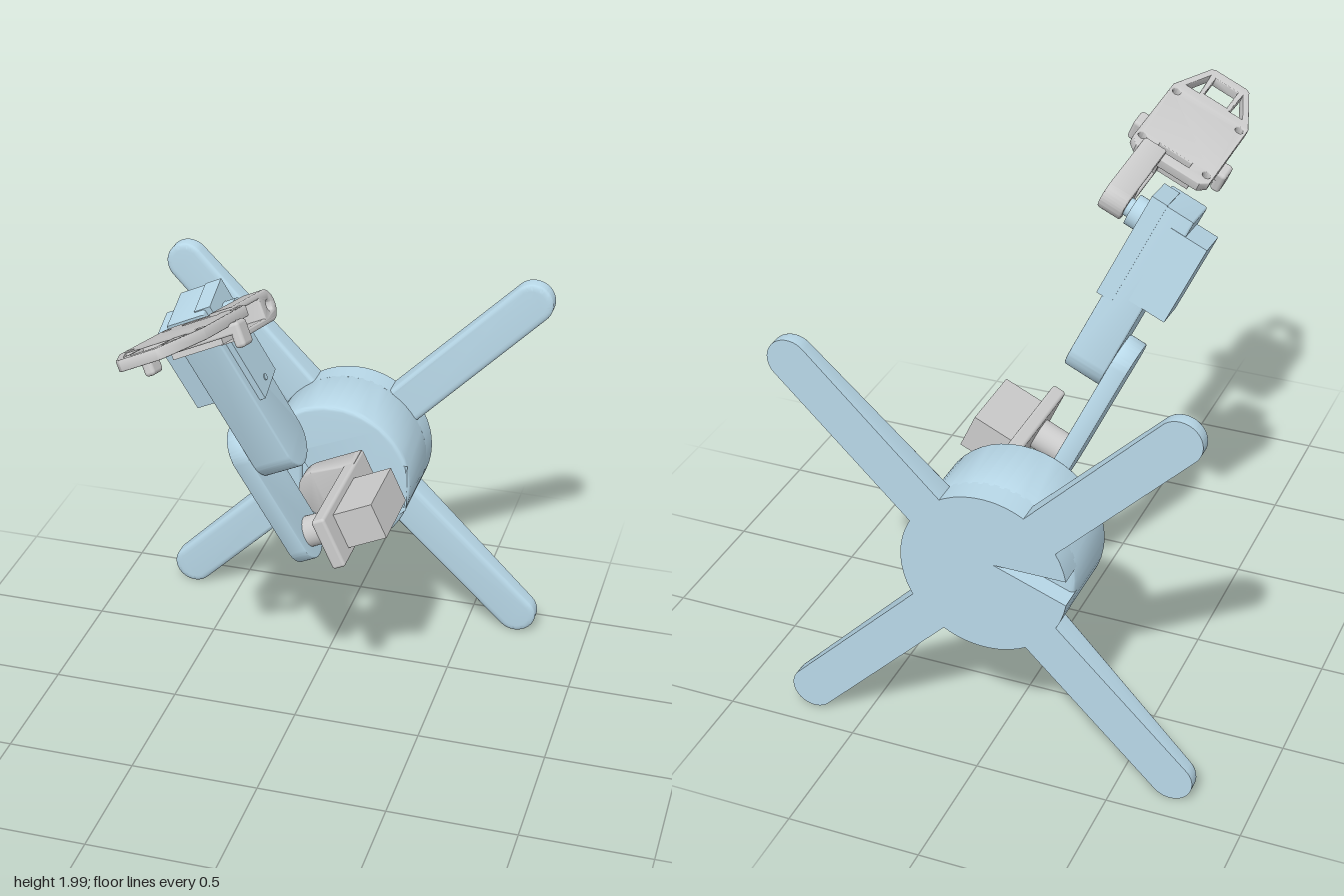
import * as THREE from 'three';
import { toCreasedNormals } from 'three/addons/utils/BufferGeometryUtils.js';
import { RoundedBoxGeometry } from 'three/addons/geometries/RoundedBoxGeometry.js';

const blue = new THREE.MeshStandardMaterial({ color: 0xb8d8e8 });
const grey = new THREE.MeshStandardMaterial({ color: 0xcccccc });

function add(parent, name, geometry, material) {
  const mesh = new THREE.Mesh(geometry, material);
  mesh.name = name;
  parent.add(mesh);
  return mesh;
}

function group(parent, name, position, rx = 0, rz = 0) {
  const g = new THREE.Group();
  g.name = name;
  g.position.set(...position);
  g.rotation.set(rx, 0, rz);
  parent.add(g);
  return g;
}

// Box given by its limits on each axis; r rounds the edges
function box(x0, x1, y0, y1, z0, z1, r = 0) {
  const s = [x1 - x0, y1 - y0, z1 - z0];
  const g = r ? new RoundedBoxGeometry(...s, 3, r) : new THREE.BoxGeometry(...s);
  return g.translate((x0 + x1) / 2, (y0 + y1) / 2, (z0 + z1) / 2);
}

// Cylinder along x
function axle(x0, x1, r, y, z) {
  return new THREE.CylinderGeometry(r, r, x1 - x0, 32).rotateZ(Math.PI / 2).translate((x0 + x1) / 2, y, z);
}

function extrude(shape, depth, bevel = 0) {
  return new THREE.ExtrudeGeometry(shape, {
    depth: depth - 2 * bevel, curveSegments: 24, bevelEnabled: bevel > 0,
    bevelThickness: bevel, bevelSize: bevel, bevelOffset: -bevel, bevelSegments: 4,
  }).translate(0, 0, bevel);
}

// Profile drawn in (z, y), spanning x0..x1
function sideExtrude(shape, x0, x1, bevel = 0) {
  return toCreasedNormals(extrude(shape, x1 - x0, bevel).rotateY(-Math.PI / 2).translate(x1, 0, 0), 0.6);
}

// Strip from a to b with round ends (either can be square)
function strip(a, b, r, roundA = true, roundB = true) {
  const s = new THREE.Shape();
  s.moveTo(a, -r);
  s.lineTo(b, -r);
  if (roundB) s.absarc(b, 0, r, -Math.PI / 2, Math.PI / 2);
  else s.lineTo(b, r);
  s.lineTo(a, r);
  if (roundA) s.absarc(a, 0, r, Math.PI / 2, 1.5 * Math.PI);
  else s.lineTo(a, -r);
  return s;
}

function polygon(points, Type = THREE.Shape) {
  return new Type(points.map((p) => new THREE.Vector2(...p)));
}
const rect = (x0, x1, y0, y1) => polygon([[x0, y0], [x1, y0], [x1, y1], [x0, y1]], THREE.Path);

// Apply a rule to every vertex
function reshape(g, rule) {
  const p = g.attributes.position;
  const v = new THREE.Vector3();
  for (let i = 0; i < p.count; i++) {
    rule(v.fromBufferAttribute(p, i));
    p.setXYZ(i, v.x, v.y, v.z);
  }
  return toCreasedNormals(g, 0.6);
}

function buildBase(model) {
  const base = group(model, 'base', [0, 0.79, 0]);

  // Drum with a servo pocket in its front
  const drum = new THREE.Shape().absarc(0, 0, 0.315, 0, Math.PI * 2);
  drum.holes.push(rect(-0.13, 0.285, -0.08, 0.08));
  add(base, 'drum', toCreasedNormals(extrude(drum, 0.3, 0.018).translate(0, 0, -0.83), 0.6), blue);

  // Back disc with a cable slot open to one side
  const a = Math.asin(0.05 / 0.315);
  const back = new THREE.Shape();
  back.moveTo(-0.04, -0.05);
  back.absarc(0, 0, 0.315, -Math.PI + a, Math.PI - a);
  back.lineTo(-0.04, 0.05);
  add(base, 'backDisc', toCreasedNormals(extrude(back, 0.1).translate(0, 0, -0.905), 0.6), blue);

  add(base, 'baseServo', box(-0.13, 0.22, -0.08, 0.08, -0.82, -0.545), blue);
  const turn = (r, z0, z1) => new THREE.CylinderGeometry(r, r, z1 - z0, 32).rotateX(Math.PI / 2).translate(0, 0, (z0 + z1) / 2);
  add(base, 'servoCollar', turn(0.06, -0.55, -0.515), blue);
  add(base, 'servoShaft', turn(0.02, -0.53, -0.46), blue);

  // Four legs, flat at the back and thinner towards the tip
  for (let i = 0; i < 4; i++) {
    const leg = reshape(extrude(strip(0.25, 0.997, 0.082, false), 0.15, 0.025), (v) => {
      v.z = Math.max(0, v.z - 0.03) / 0.12 * (0.108 - 0.05 * (v.x - 0.25) / 0.83);
    });
    leg.translate(0, 0, -0.905).rotateZ(Math.PI / 4 + i * Math.PI / 2);
    add(base, 'leg', leg, blue);
  }
}

function buildShoulder(shoulder) {
  // Foot plate thickening towards the side plate
  const foot = reshape(extrude(strip(0, 0.195, 0.105, true, false), 0.07, 0.008), (v) => {
    if (v.z > 0.035) v.z += 0.2 * (v.x + 0.105);
  });
  add(shoulder, 'bracketFoot', foot.translate(0, 0, -0.478), grey);
  add(shoulder, 'bracketSide', box(0.145, 0.2, -0.105, 0.105, -0.478, 0.095, 0.012), grey);
  add(shoulder, 'shoulderServo', box(0.19, 0.36, -0.073, 0.073, -0.29, 0.005), grey);
  add(shoulder, 'shoulderAxle', axle(0.03, 0.15, 0.06, 0, -0.075), grey);
}

function buildArm(arm) {
  // Upper arm: thin link with round ends
  const link = sideExtrude(strip(0, 0.43, 0.105), -0.03, 0.04, 0.006);
  add(arm, 'upperArm', link.rotateX(-Math.PI / 2), blue);

  // Forearm: thicker, round at the elbow, square at the wrist
  const fore = new THREE.Shape();
  fore.moveTo(0.105, 1.08);
  fore.lineTo(-0.105, 1.08);
  fore.lineTo(-0.105, 0.42);
  fore.absarc(0, 0.42, 0.105, Math.PI, 2 * Math.PI);
  add(arm, 'forearm', sideExtrude(fore, 0.04, 0.192, 0.008), blue);

  // Wrist servo reaching out on both sides of the forearm
  add(arm, 'wristServo', box(-0.05, 0.1, 0.7, 1.02, -0.108, 0.065), blue);
  add(arm, 'wristServoCover', box(0.15, 0.215, 0.66, 1.084, -0.108, 0.07), blue);
  add(arm, 'coverScrew', axle(0.21, 0.219, 0.012, 0.7, -0.01), blue);
  add(arm, 'wristAxle', axle(0.2, 0.26, 0.06, 0.97, -0.02), blue);
  add(arm, 'wristPin', axle(0.25, 0.3, 0.035, 0.97, -0.02), blue);
}

function buildHand(hand) {
  // Wrist link with a window and a pivot hole
  const link = strip(0, 0.29, 0.058, true, false);
  link.holes.push(rect(0.07, 0.25, -0.035, 0.035));
  link.holes.push(new THREE.Path().absarc(0, 0, 0.02, 0, Math.PI * 2));
  add(hand, 'wristLink', sideExtrude(link, 0.28, 0.375, 0.008), grey);

  // Tool plate with a tapered open frame at the tip
  const plate = polygon([[-0.135, 0.24], [0.135, 0.24], [0.165, 0.27], [0.165, 0.63],
    [0.085, 0.81], [0.07, 0.82], [-0.07, 0.82], [-0.085, 0.81], [-0.165, 0.63], [-0.165, 0.27]]);
  plate.holes.push(rect(-0.07, 0.07, 0.285, 0.31), rect(-0.05, 0.05, 0.67, 0.775));
  for (const s of [-1, 1]) {
    plate.holes.push(polygon([[s * 0.066, 0.66], [s * 0.122, 0.66], [s * 0.072, 0.775]], THREE.Path));
    for (const z of [0.3, 0.6]) {
      plate.holes.push(new THREE.Path().absarc(s * 0.138, z, 0.016, 0, Math.PI * 2));
    }
  }
  const plateGeo = extrude(plate, 0.04, 0.004).rotateX(Math.PI / 2).translate(0.25, 0.05, 0);
  add(hand, 'toolPlate', toCreasedNormals(plateGeo, 0.6), grey);

  // Strap under the plate, hooked down at both ends
  add(hand, 'strap', box(0.07, 0.43, -0.02, 0.015, 0.37, 0.45, 0.008), grey);
  for (const s of [-1, 1]) {
    const x = 0.25 + s * 0.18;
    add(hand, 'strapHook', box(x - 0.02, x + 0.02, -0.07, 0.02, 0.37, 0.45, 0.014), grey);
  }
  add(hand, 'clampBlock', box(0.15, 0.35, -0.045, 0.02, 0.28, 0.4), grey);
}

export function createModel() {
  const model = new THREE.Group();
  model.name = 'robotArm';
  buildBase(model);

  // The shoulder turns about z; arm and hand swing about its x
  const shoulder = group(model, 'shoulder', [0, 0.79, 0], 0, THREE.MathUtils.degToRad(25));
  buildShoulder(shoulder);
  buildArm(group(shoulder, 'arm', [0, 0, -0.075], THREE.MathUtils.degToRad(11.5)));
  buildHand(group(shoulder, 'hand', [0, 0.955, 0.1], THREE.MathUtils.degToRad(-12)));
  return model;
}
